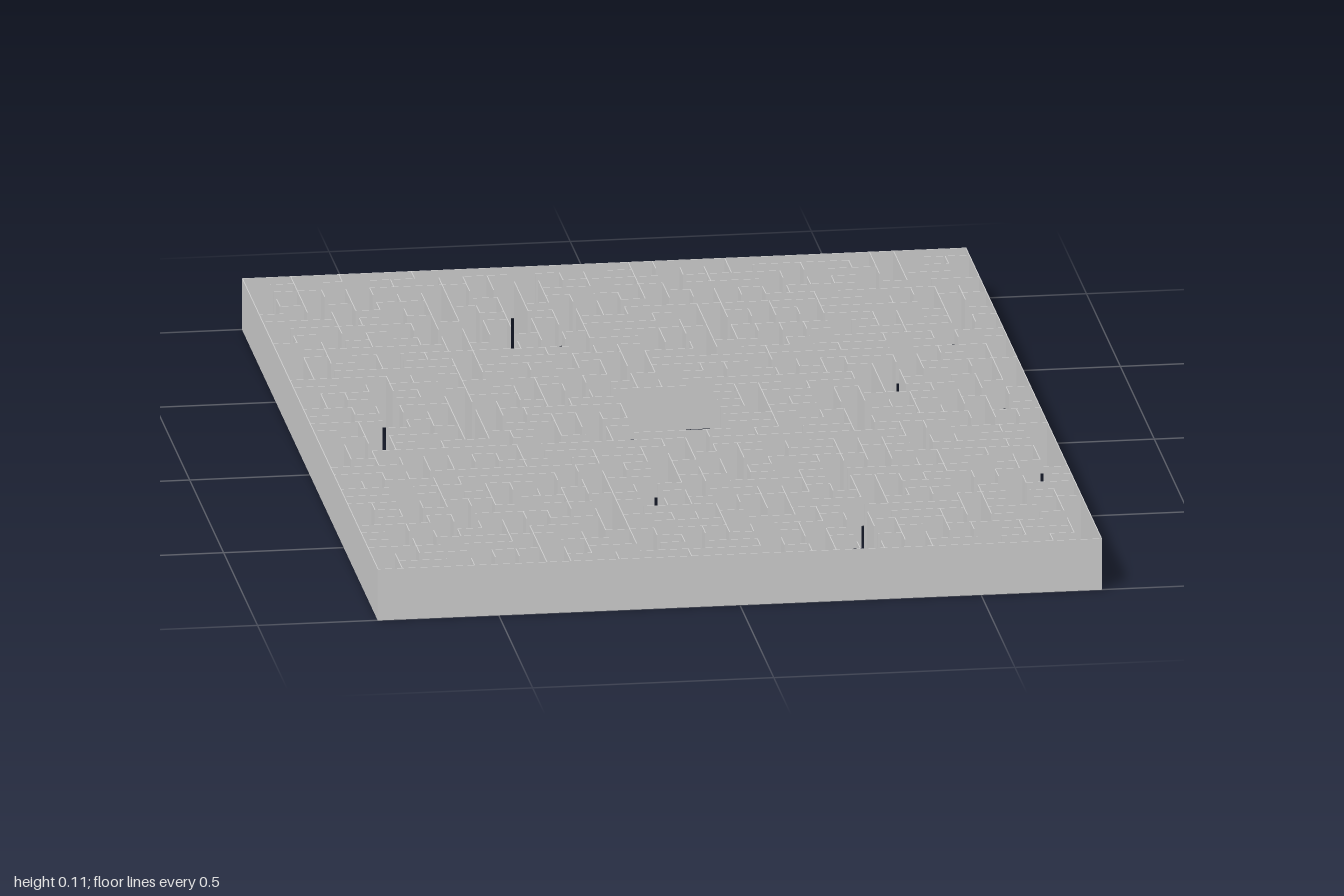
import * as THREE from 'three';
import { mergeGeometries } from 'three/addons/utils/BufferGeometryUtils.js';

// Maze lattice: 30 x 40 square cells bounded by thin upright walls
const COLS = 30, ROWS = 40, CELL = 0.05, HEIGHT = 0.11, THICK = 0.002;

// Long walls along x: [row, first column, last column]
const LONG_X = [
  [6, 15, 18], [6, 19, 23], [7, 1, 5], [12, 10, 14], [13, 4, 7], [13, 8, 11],
  [13, 15, 18], [13, 20, 22], [14, 1, 4], [20, 1, 3], [24, 3, 7], [24, 9, 15],
  [24, 18, 24], [27, 4, 7], [27, 8, 11], [27, 18, 22], [27, 24, 29], [34, 0, 3],
  [34, 11, 13], [34, 21, 25], [36, 4, 6], [17, 13, 15],
];
// Long walls along z: [column, first row, last row]
const LONG_Z = [
  [7, 3, 7], [8, 1, 6], [23, 5, 8], [18, 6, 10], [7, 12, 16], [8, 10, 12],
  [29, 14, 18], [7, 21, 23], [8, 24, 27], [15, 24, 26], [15, 28, 30], [15, 34, 37],
  [29, 33, 35], [29, 37, 39], [23, 38, 40], [8, 38, 40], [19, 4, 7], [1, 12, 14],
];

const inRoom = (i, j) => i >= 14 && i <= 16 && j >= 18 && j <= 22;
const onRim = (i, j) => i === 0 || j === 0 || i === COLS || j === ROWS;

function seeded(seed) {
  return () => {
    seed = (Math.imul(seed, 1664525) + 1013904223) >>> 0;
    return seed / 4294967296;
  };
}

// Join lattice points with unit walls so that no wall closes off a cell
function growWalls() {
  const id = (i, j) => (onRim(i, j) ? 0 : j * (COLS + 1) + i);
  const parent = Array.from({ length: (COLS + 1) * (ROWS + 1) }, (_, k) => k);
  const find = (k) => {
    while (parent[k] !== k) k = parent[k] = parent[parent[k]];
    return k;
  };
  const walls = new Set();
  const tryWall = (i, j, alongX) => {
    const i2 = i + (alongX ? 1 : 0), j2 = j + (alongX ? 0 : 1);
    if (inRoom(i, j) || inRoom(i2, j2)) return;
    const a = find(id(i, j)), b = find(id(i2, j2));
    if (a === b) return;
    parent[a] = b;
    walls.add(`${alongX ? 'x' : 'z'},${i},${j}`);
  };

  for (const [j, a, b] of LONG_X) for (let i = a; i < b; i++) tryWall(i, j, true);
  for (const [i, a, b] of LONG_Z) for (let j = a; j < b; j++) tryWall(i, j, false);

  const candidates = [];
  for (let j = 0; j <= ROWS; j++) {
    for (let i = 0; i <= COLS; i++) {
      if (i < COLS) candidates.push([i, j, true]);
      if (j < ROWS) candidates.push([i, j, false]);
    }
  }
  const random = seeded(71);
  for (let k = candidates.length - 1; k > 0; k--) {
    const m = Math.floor(random() * (k + 1));
    [candidates[k], candidates[m]] = [candidates[m], candidates[k]];
  }
  for (const c of candidates) tryWall(...c);
  return walls;
}

// One straight wall between lattice lines a and b
function wall(alongX, line, a, b) {
  const length = (b - a) * CELL;
  const geo = new THREE.BoxGeometry(alongX ? length : THICK, HEIGHT, alongX ? THICK : length);
  const mid = (a + b) / 2;
  const [i, j] = alongX ? [mid, line] : [line, mid];
  return geo.translate((i - COLS / 2) * CELL, HEIGHT / 2, (j - ROWS / 2) * CELL);
}

// Merge neighbouring unit walls into straight runs
function straightRuns(walls, alongX) {
  const lines = alongX ? ROWS : COLS, steps = alongX ? COLS : ROWS;
  const has = (line, s) => walls.has(alongX ? `x,${s},${line}` : `z,${line},${s}`);
  const parts = [];
  for (let line = 1; line < lines; line++) {
    for (let s = 0; s < steps; s++) {
      if (!has(line, s)) continue;
      const start = s;
      while (s < steps && has(line, s)) s++;
      parts.push(wall(alongX, line, start, s));
    }
  }
  return mergeGeometries(parts);
}

export function createModel() {
  const group = new THREE.Group();
  group.name = 'maze';
  const material = new THREE.MeshStandardMaterial({ color: 0xcccccc, side: THREE.DoubleSide });
  const add = (name, geometry) => {
    const mesh = new THREE.Mesh(geometry, material);
    mesh.name = name;
    group.add(mesh);
  };

  // Outer rim
  add('backOuterWall', wall(true, 0, 0, COLS));
  add('frontOuterWall', wall(true, ROWS, 0, COLS));
  add('rightOuterWall', wall(false, 0, 0, ROWS));
  add('leftOuterWall', wall(false, COLS, 0, ROWS));

  // Inner partitions around an open central room
  const walls = growWalls();
  add('crosswiseInnerWalls', straightRuns(walls, true));
  add('lengthwiseInnerWalls', straightRuns(walls, false));
  return group;
}
